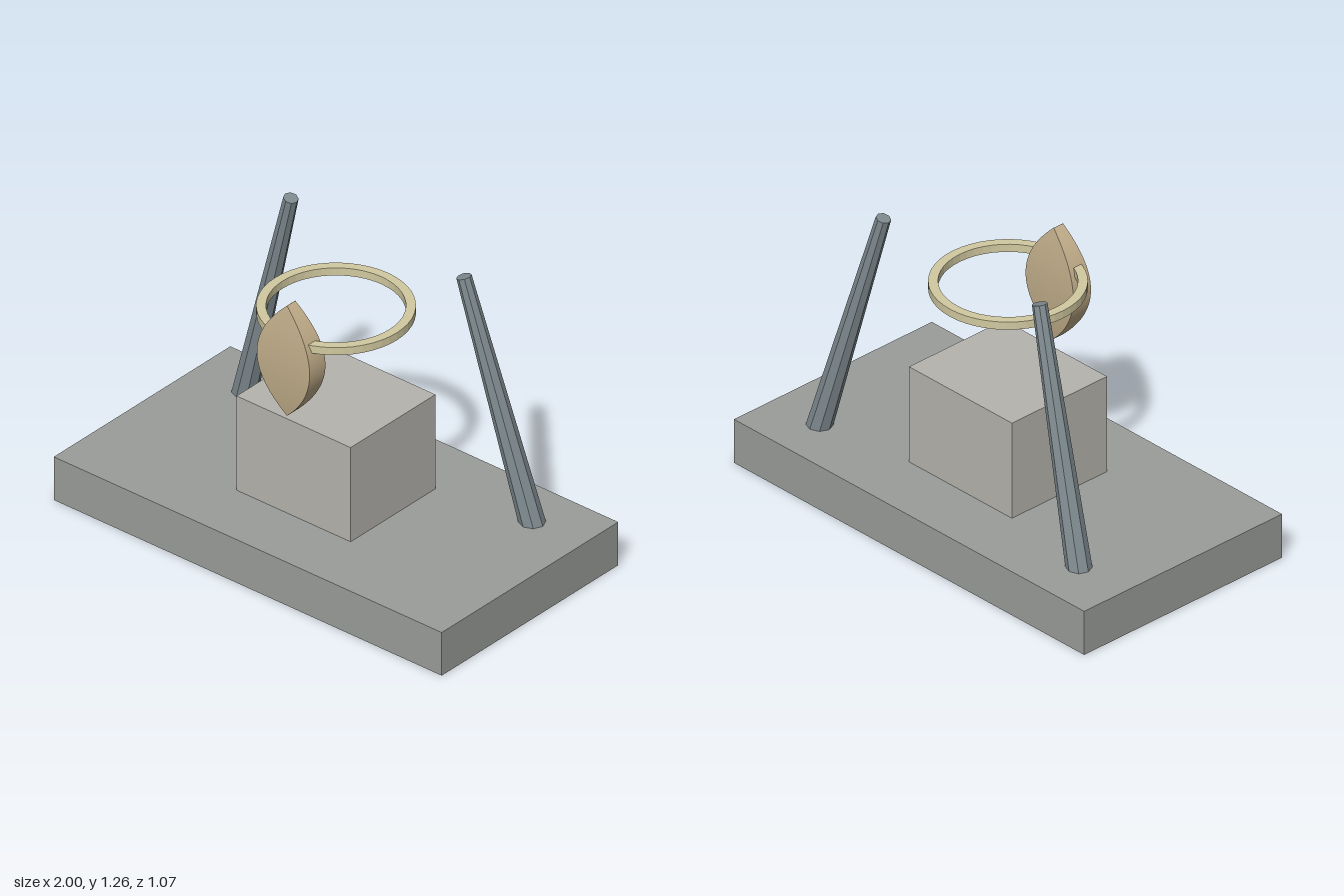
import * as THREE from 'three';

const mat = (color, flatShading = false) => new THREE.MeshStandardMaterial({ color, flatShading });

function add(group, name, geometry, material) {
  const mesh = new THREE.Mesh(geometry, material);
  mesh.name = name;
  group.add(mesh);
  return mesh;
}

// Tapered octagonal post between two points
function addPost(group, name, bottom, top, material) {
  const axis = top.clone().sub(bottom);
  const post = add(group, name, new THREE.CylinderGeometry(0.031, 0.054, axis.length(), 8), material);
  post.position.copy(bottom).add(top).multiplyScalar(0.5);
  post.quaternion.setFromUnitVectors(new THREE.Vector3(0, 1, 0), axis.normalize());
}

// Pointed leaf: a box whose width and thickness shrink towards both tips
function leafGeometry(halfWidth, halfHeight) {
  const g = new THREE.BoxGeometry(2, 2, 2, 1, 32, 1);
  const p = g.attributes.position;
  for (let i = 0; i < p.count; i++) {
    const y = p.getY(i);
    const w = Math.max(1 - y * y, 0.004);
    p.setXYZ(i, p.getX(i) * halfWidth * w, y * halfHeight, p.getZ(i) * (0.025 + 0.023 * w));
  }
  g.computeVertexNormals();
  return g;
}

export function createModel() {
  const model = new THREE.Group();
  model.name = 'monument';

  // Base slab and pedestal
  add(model, 'base', new THREE.BoxGeometry(2, 0.2, 1.07), mat(0x9a9d99)).position.y = 0.1;
  add(model, 'pedestal', new THREE.BoxGeometry(0.588, 0.437, 0.514), mat(0xb6b4ae)).position.y = 0.4185;

  // Leaning posts, their feet sunk into the slab
  const steel = mat(0x7f8b90, true);
  for (const [name, s] of [['leftPost', 1], ['rightPost', -1]]) {
    addPost(model, name, new THREE.Vector3(s * 0.754, 0.15, -0.321), new THREE.Vector3(s * 0.446, 1.25, -0.251), steel);
  }

  // Floating ring of rectangular section
  const section = [[0.275, 1.02], [0.314, 1.02], [0.314, 1.055], [0.275, 1.055], [0.275, 1.02]]
    .map(([x, y]) => new THREE.Vector2(x, y));
  add(model, 'ring', new THREE.LatheGeometry(section, 48), mat(0xd2c9a0, true));

  // Leaf ornament at the front of the ring
  add(model, 'leaf', leafGeometry(0.136, 0.255), mat(0xc2ae8a)).position.set(0, 0.939, 0.272);

  return model;
}
